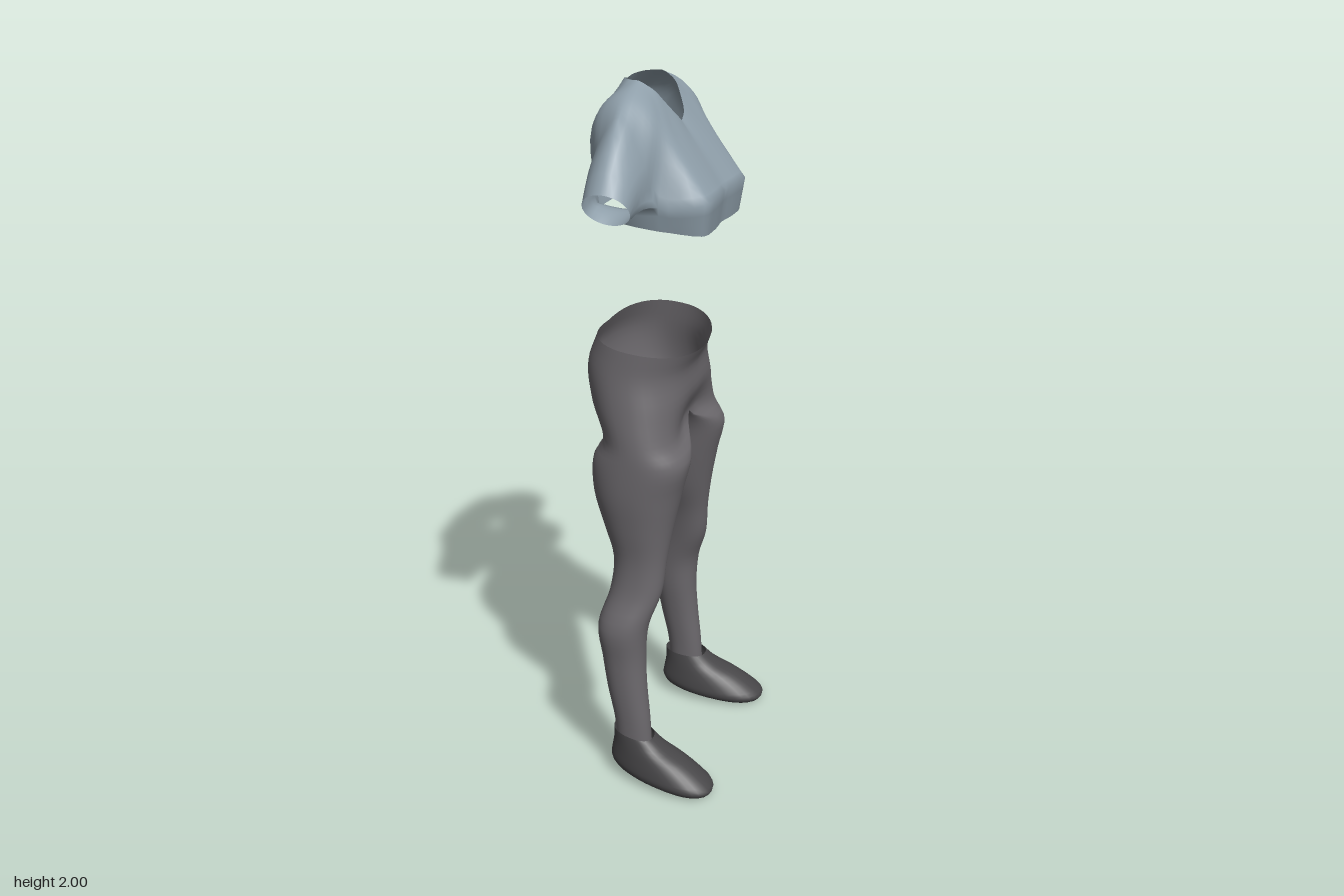
import * as THREE from 'three';
import { mergeGeometries, mergeVertices } from 'three/addons/utils/BufferGeometryUtils.js';

const V = (x, y, z) => new THREE.Vector3(x, y, z);
const spline = (pts, steps) => new THREE.CatmullRomCurve3(pts).getPoints((pts.length - 1) * steps);
const transpose = (g) => g[0].map((_, j) => g.map((row) => row[j]));
// Smooth a grid of points down its rows
const smoothRows = (rows, steps) => transpose(transpose(rows).map((col) => spline(col, steps)));

// Grid of points -> surface; mirrored in z when asked
function patch(rows, mirror) {
  const pos = [], idx = [], w = rows[0].length;
  rows.forEach((row) => row.forEach((p) => pos.push(p.x, p.y, mirror ? -p.z : p.z)));
  for (let i = 0; i < rows.length - 1; i++) {
    for (let j = 0; j < w - 1; j++) {
      const a = i * w + j, b = a + 1, c = a + w, d = c + 1;
      if (mirror) idx.push(a, c, b, b, c, d);
      else idx.push(a, b, c, b, d, c);
    }
  }
  const geo = new THREE.BufferGeometry();
  geo.setAttribute('position', new THREE.Float32BufferAttribute(pos, 3));
  geo.setIndex(idx);
  return geo;
}

// Join patches into one smooth surface
function surface(name, patches, material) {
  const geo = mergeVertices(mergeGeometries(patches), 1e-4);
  geo.computeVertexNormals();
  const mesh = new THREE.Mesh(geo, material);
  mesh.name = name;
  return mesh;
}
const bothSides = (grids) => grids.flatMap((g) => [patch(g, false), patch(g, true)]);
const spow = (v, e) => Math.sign(v) * Math.abs(v) ** e;

// Trousers: hip rows wrap half the body, leg rows wrap one leg
function trousers(material) {
  const K = 24, steps = 4, hipRows = 4;
  // y, back x, front x, inner z, outer z, centre dent, forward tilt
  const rows = [
    [1.3, -0.19, 0.09, 0, 0.228, 0, -0.022],
    [1.24, -0.22, 0.08, 0, 0.236, 0.06, -0.01],
    [1.15, -0.207, 0.09, 0, 0.25, 0.12, 0],
    [1.06, -0.176, 0.1, 0, 0.262, 0.38, 0],
    [1.0, -0.17, 0.1, 0.035, 0.266, 0, 0],
    [0.9, -0.17, 0.08, 0.055, 0.266, 0, 0],
    [0.8, -0.14, 0.06, 0.085, 0.256, 0, 0],
    [0.7, -0.108, 0.045, 0.125, 0.246, 0, 0],
    [0.6, -0.115, 0.035, 0.148, 0.258, 0, 0],
    [0.5, -0.142, 0.003, 0.163, 0.293, 0, 0],
    [0.4, -0.13, -0.005, 0.172, 0.288, 0, 0],
    [0.3, -0.115, 0.0, 0.185, 0.285, 0, 0],
    [0.2, -0.095, 0.01, 0.195, 0.28, 0, 0],
    [0.12, -0.088, 0.015, 0.2, 0.276, 0, 0],
  ];
  const rings = rows.map(([y, xb, xf, zi, zo, dent, tilt], i) => {
    const ring = [], hip = i < hipRows;
    for (let j = 0; j <= 2 * K; j++) {
      const a = (j / K) * Math.PI, c = Math.cos(a), s = Math.sin(a);
      const inner = j > K;
      const centre = inner && hip ? 1 : c ** 6;
      const x = (xb + xf) / 2 + ((xf - xb) / 2) * spow(c, 0.9) * (1 - dent * centre);
      const z = hip ? (j >= K || j === 0 ? 0 : zo * s ** 0.85) : (zi + zo) / 2 + ((zo - zi) / 2) * spow(s, 0.95);
      const lift = i === 0 ? 0.018 * Math.max(s, 0) : dent * 0.06 * centre;
      ring.push(V(x, y + tilt * c + lift, z));
    }
    return ring;
  });
  const grid = smoothRows(rings, steps);
  const outer = grid.map((r) => r.slice(0, K + 1));
  const inner = grid.slice((hipRows - 1) * steps).map((r) => r.slice(K));
  return surface('trousers', bothSides([outer, inner]), material);
}

// Shirt: a yoke spreads from the neck, then splits into body and sleeves
function shirt(material) {
  const k = 4, M = 12;
  // Columns from front centre over the shoulder to back centre: neck, middle, edge
  const columns = [
    [0.025, 1.89, 0, 0.085, 1.81, 0, 0.147, 1.72, 0],
    [0.02, 1.91, 0.03, 0.088, 1.815, 0.08, 0.155, 1.72, 0.1],
    [0.0, 1.945, 0.06, 0.072, 1.835, 0.135, 0.145, 1.715, 0.172],
    [-0.02, 1.975, 0.08, 0.035, 1.875, 0.165, 0.035, 1.71, 0.215],
    [-0.04, 1.99, 0.088, 0.0, 1.93, 0.175, 0.012, 1.82, 0.245],
    [-0.06, 2.0, 0.09, -0.06, 1.972, 0.175, -0.055, 1.928, 0.25],
    [-0.08, 2.0, 0.085, -0.128, 1.945, 0.17, -0.122, 1.84, 0.245],
    [-0.1, 2.0, 0.07, -0.165, 1.89, 0.15, -0.125, 1.71, 0.212],
    [-0.12, 1.996, 0.035, -0.182, 1.87, 0.085, -0.172, 1.72, 0.13],
    [-0.125, 1.99, 0, -0.182, 1.87, 0, -0.178, 1.72, 0],
  ].map((c) => [0, 3, 6].map((i) => V(c[i], c[i + 1], c[i + 2])));
  const yoke = smoothRows(transpose(columns).map((row) => spline(row, k)), 6);
  const edge = yoke[yoke.length - 1];
  const f = 3 * k, b = 7 * k;

  // Underarm arc, front to back
  const arm = [];
  for (let i = 0; i <= M; i++) {
    const p = edge[f].clone().lerp(edge[b], i / M);
    const s = Math.sin((i / M) * Math.PI);
    arm.push(p.add(V(0, -0.006 * s, 0.01 * s)));
  }

  // Body down to the hem
  const bodyTop = [...edge.slice(0, f), ...arm, ...edge.slice(b + 1)];
  const hem = bodyTop.map((p) => V(p.x * 0.92, 1.65 - 0.13 * p.x, p.z * 0.93));
  const body = [0, 1 / 3, 2 / 3, 1].map((t) => bodyTop.map((p, j) => p.clone().lerp(hem[j], t)));

  // Sleeve out to a slanted cuff
  const sleeveTop = [...edge.slice(f, b), ...arm.slice().reverse()];
  const n = b - f;
  const cuff = sleeveTop.map((_, j) => {
    const deg = j <= n ? -120 + (240 * j) / n : 120 + (120 * (j - n)) / M;
    const a = THREE.MathUtils.degToRad(deg);
    return V(-0.053 - 0.062 * Math.sin(a), 1.728 + 0.047 * Math.cos(a), 0.347 + 0.038 * Math.cos(a));
  });
  const sleeve = [0, 0.25, 0.5, 0.75, 1].map((t) => sleeveTop.map((p, j) => {
    const q = p.clone().lerp(cuff[j], t);
    q.y += 0.012 * Math.sin(t * Math.PI);
    return q;
  }));
  return surface('shirt', bothSides([yoke, body, sleeve]), material);
}

// Shoe: stacked rings from the collar to the closed sole
function shoe(name, mirror, material) {
  // y, heel x, toe x, half width, forward tilt
  const rows = [
    [0.152, -0.1, 0.025, 0.054, -0.008],
    [0.12, -0.1, 0.06, 0.06, -0.004],
    [0.085, -0.107, 0.125, 0.068, 0],
    [0.055, -0.11, 0.185, 0.075, -0.01],
    [0.034, -0.107, 0.212, 0.077, -0.016],
    [0.017, -0.092, 0.2, 0.068, -0.015],
    [0.017, 0.05, 0.05, 0, 0],
  ];
  const rings = rows.map(([y, xb, xf, hw, tilt]) => {
    const ring = [];
    for (let j = 0; j <= 32; j++) {
      const a = ((j % 32) / 32) * Math.PI * 2;
      const x = (xb + xf) / 2 + ((xf - xb) / 2) * spow(Math.cos(a), 0.9);
      const z = 0.242 + 0.1 * x + hw * spow(Math.sin(a), 0.9) * (1 + 1.2 * (x - 0.1));
      ring.push(V(x, y + tilt * Math.cos(a), z));
    }
    return ring;
  });
  return surface(name, [patch(smoothRows(rings, 3), mirror)], material);
}

export function createModel() {
  const make = (name, color) => {
    const m = new THREE.MeshStandardMaterial({ color, side: THREE.DoubleSide });
    m.name = name;
    return m;
  };
  const blueGrey = make('blue grey cloth', 0x8f9faa);
  const darkGrey = make('dark grey cloth', 0x6b686c);
  const charcoal = make('charcoal leather', 0x474648);

  const model = new THREE.Group();
  model.name = 'outfit';
  model.add(
    shirt(blueGrey),
    trousers(darkGrey),
    shoe('frontShoe', false, charcoal),
    shoe('backShoe', true, charcoal),
  );
  return model;
}
